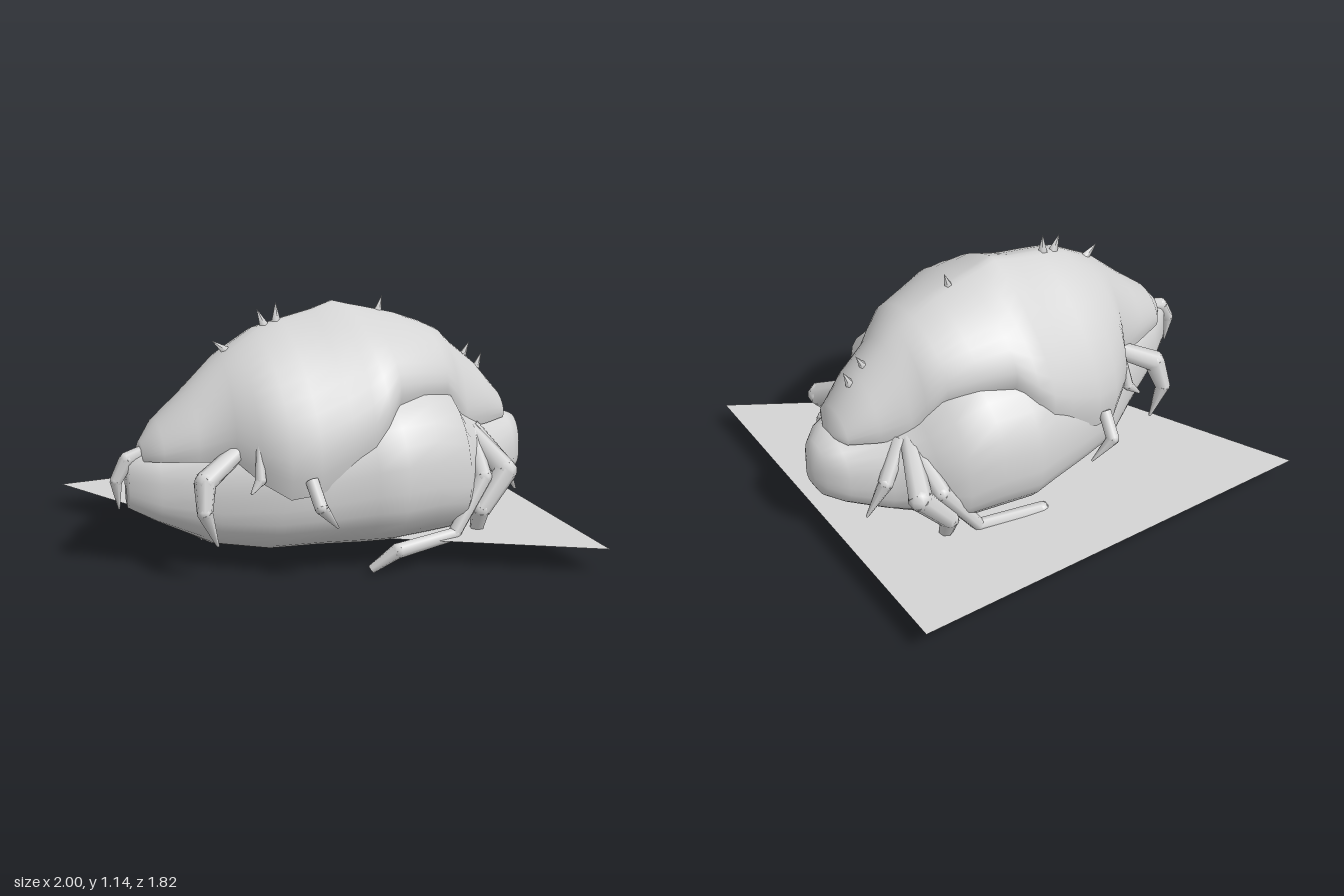
import * as THREE from 'three';

const grey = new THREE.MeshStandardMaterial({ color: 0xd4d4d4, side: THREE.DoubleSide });
grey.name = 'plain grey';

// Loft along x: each station becomes an open arch of [y, z] points
function loft(name, stations, arch) {
  const pos = [], index = [];
  const arches = stations.map(arch);
  const n = arches[0].length;
  arches.forEach((pts, i) => pts.forEach(([y, z]) => pos.push(stations[i][0], y, z)));
  for (let i = 0; i < arches.length - 1; i++) {
    for (let j = 0; j < n - 1; j++) {
      const a = i * n + j, b = a + n;
      index.push(a, a + 1, b, b, a + 1, b + 1);
    }
  }
  const g = new THREE.BufferGeometry();
  g.setAttribute('position', new THREE.Float32BufferAttribute(pos, 3));
  g.setIndex(index);
  g.computeVertexNormals();
  const m = new THREE.Mesh(g, grey);
  m.name = name;
  return m;
}

// Jointed limb: tapered segments between points [x, y, z, radius]
function limb(name, points) {
  const group = new THREE.Group();
  group.name = name;
  for (let i = 0; i < points.length - 1; i++) {
    const a = new THREE.Vector3(...points[i]), b = new THREE.Vector3(...points[i + 1]);
    const dir = b.clone().sub(a);
    const seg = new THREE.Mesh(
      new THREE.CylinderGeometry(points[i + 1][3], points[i][3], dir.length(), 7), grey);
    seg.position.copy(a).add(b).multiplyScalar(0.5);
    seg.quaternion.setFromUnitVectors(new THREE.Vector3(0, 1, 0), dir.normalize());
    group.add(seg);
    if (i > 0) {
      const joint = new THREE.Mesh(new THREE.SphereGeometry(points[i][3], 7, 5), grey);
      joint.position.copy(a);
      group.add(joint);
    }
  }
  return group;
}

export function createModel() {
  const model = new THREE.Group();
  model.name = 'shelledCreature';

  // Rounded lower body, open underneath: [x, top, bottom, half width]
  const body = [
    [-0.92, 0.40, 0.40, 0], [-0.92, 0.51, 0.28, 0.04], [-0.8, 0.55, 0.21, 0.13],
    [-0.57, 0.58, 0.09, 0.25], [-0.35, 0.66, 0.06, 0.41], [-0.15, 0.72, 0.06, 0.48],
    [0.05, 0.8, 0.05, 0.54], [0.17, 0.83, 0.05, 0.58], [0.34, 0.83, 0.05, 0.55],
    [0.5, 0.77, 0.06, 0.52], [0.58, 0.66, 0.08, 0.41], [0.74, 0.56, 0.13, 0.28],
    [0.9, 0.54, 0.2, 0.18], [0.97, 0.51, 0.24, 0.1], [1.0, 0.42, 0.30, 0.04], [1.0, 0.36, 0.36, 0],
  ];
  model.add(loft('body', body, ([x, top, low, w]) => {
    const pts = [], mid = low + 0.42 * (top - low);
    // The opening closes towards both tips
    const gap = 0.4 * Math.max(0, 1 - (x / 0.76) ** 6);
    for (let j = -14; j <= 14; j++) {
      const t = (j / 14) * (Math.PI - gap), c = Math.cos(t), s = Math.sin(t);
      const h = c > 0 ? top - mid : mid - low;
      pts.push([mid + h * Math.sign(c) * Math.abs(c) ** 0.85,
        w * Math.sign(s) * Math.abs(s) ** 0.85]);
    }
    return pts;
  }));

  // Narrow keel along the open underside
  const keel = new THREE.Mesh(new THREE.BoxGeometry(1.22, 0.03, 0.08), grey);
  keel.position.set(0.01, 0.115, 0);
  keel.name = 'keel';
  model.add(keel);

  // Domed shell with a wavy rim: [x, crest, rim, half width]
  const shell = [
    [-0.86, 0.54, 0.5, 0], [-0.86, 0.58, 0.5, 0.06], [-0.79, 0.67, 0.51, 0.15],
    [-0.65, 0.79, 0.51, 0.21], [-0.5, 0.93, 0.51, 0.27], [-0.43, 0.97, 0.44, 0.40],
    [-0.32, 1.04, 0.37, 0.48], [-0.2, 1.07, 0.39, 0.52], [-0.05, 1.1, 0.46, 0.52],
    [0.05, 1.13, 0.53, 0.53], [0.12, 1.11, 0.62, 0.51], [0.2, 1.09, 0.73, 0.45],
    [0.35, 1.05, 0.72, 0.38], [0.48, 1.0, 0.71, 0.33], [0.56, 0.96, 0.62, 0.28],
    [0.62, 0.9, 0.53, 0.25], [0.75, 0.79, 0.53, 0.2], [0.87, 0.65, 0.53, 0.13],
    [0.9, 0.56, 0.53, 0.05], [0.9, 0.54, 0.53, 0],
  ];
  model.add(loft('shell', shell, ([x, crest, rim, w]) => {
    const pts = [];
    // The crest is sharper in the middle of the back
    const power = 1.05 + 0.5 * Math.max(0, 1 - (x / 0.5) ** 2);
    for (let j = -12; j <= 12; j++) {
      const s = Math.abs(j) / 12, t = s * Math.PI / 2;
      const tuck = 1 - 0.1 * s ** 8;
      pts.push([rim + (crest - rim) * Math.cos(t),
        Math.sign(j) * w * Math.sin(t) ** power * tuck]);
    }
    return pts;
  }));

  // Paired legs and claws: [x, y, z, radius]
  const legs = {
    rearLeg: [[0.63, 0.53, 0.22, 0.04], [0.71, 0.38, 0.44, 0.055], [0.58, 0.22, 0.46, 0.045], [0.58, 0.07, 0.41, 0.025]],
    longLeg: [[0.63, 0.52, 0.25, 0.035], [0.6, 0.36, 0.44, 0.04], [0.44, 0.13, 0.48, 0.03], [0.14, 0.11, 0.53, 0.035], [0.03, 0.025, 0.49, 0.02]],
    rearClaw: [[0.66, 0.53, 0.2, 0.04], [0.78, 0.38, 0.27, 0.035], [0.87, 0.22, 0.25, 0.006]],
    frontLeg: [[-0.47, 0.56, 0.22, 0.04], [-0.66, 0.45, 0.29, 0.05], [-0.68, 0.33, 0.34, 0.035], [-0.62, 0.17, 0.33, 0.006]],
    frontSpur: [[-0.43, 0.62, 0.34, 0.012], [-0.44, 0.46, 0.38, 0.025], [-0.49, 0.41, 0.4, 0.006]],
    sideClaw: [[-0.24, 0.46, 0.47, 0.03], [-0.23, 0.36, 0.55, 0.03], [-0.14, 0.25, 0.52, 0.005]],
  };
  for (const [name, pts] of Object.entries(legs)) {
    for (const side of [1, -1]) {
      const sided = pts.map(([x, y, z, r]) => [x, y, z * side, r]);
      model.add(limb((side > 0 ? 'near ' : 'far ') + name, sided));
    }
  }

  // Curved claw at the tip
  model.add(limb('tipClaw', [[-0.84, 0.53, 0, 0.03], [-0.92, 0.5, 0, 0.035],
    [-0.97, 0.41, 0, 0.028], [-0.96, 0.28, 0, 0.004]]));

  // Small spines along the crest: [x, base height, lean]
  for (const [x, y, lean] of [[-0.48, 0.93, 0.9], [-0.29, 1.04, 0.4], [-0.22, 1.06, 0],
    [0.28, 1.05, -0.3], [0.72, 0.8, -0.5], [0.79, 0.74, -0.4]]) {
    const spine = new THREE.Mesh(new THREE.ConeGeometry(0.026, 0.1, 5), grey);
    spine.position.set(x, y + 0.035, 0);
    spine.rotation.z = lean;
    spine.name = 'crestSpine';
    model.add(spine);
  }

  // Flat angular ground sheet
  const outline = [[-0.99, -0.91], [0.98, -0.91], [0.98, 0.91], [-0.54, 0.0]]
    .map(([x, z]) => new THREE.Vector2(x, -z));
  const sheet = new THREE.Mesh(new THREE.ShapeGeometry(new THREE.Shape(outline)), grey);
  sheet.rotation.x = -Math.PI / 2;
  sheet.position.y = 0.125;
  sheet.name = 'groundSheet';
  model.add(sheet);

  return model;
}
